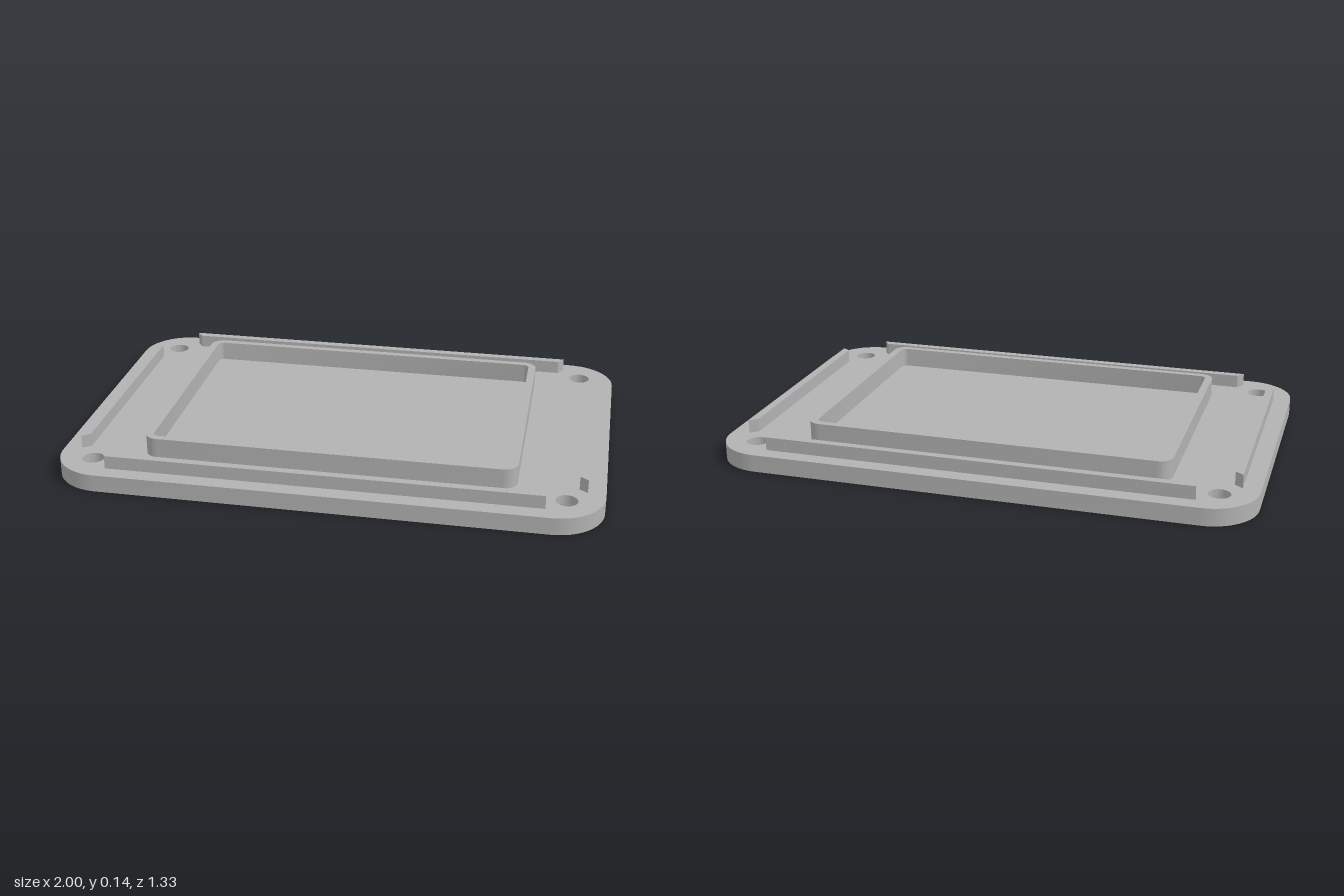
import * as THREE from 'three';
import { mergeGeometries, toCreasedNormals } from 'three/addons/utils/BufferGeometryUtils.js';

const BASE = 0.065, RAIL = 0.115, FRAME = 0.14;

// Counter-clockwise outline of a rounded rectangle, from half sizes
function roundRect(hx, hy, r, steps = 12) {
  const pts = [];
  [[1, 1], [-1, 1], [-1, -1], [1, -1]].forEach(([sx, sy], k) => {
    for (let i = 0; i <= steps; i++) {
      const a = (k + i / steps) * Math.PI / 2;
      pts.push(new THREE.Vector2(sx * (hx - r) + r * Math.cos(a), sy * (hy - r) + r * Math.sin(a)));
    }
  });
  return pts;
}

function circle(x, y, r, n = 32) {
  return Array.from({ length: n }, (_, i) => {
    const a = i / n * Math.PI * 2;
    return new THREE.Vector2(x + r * Math.cos(a), y + r * Math.sin(a));
  });
}

// Vertical wall along a closed outline; inward walls line holes
function wall(pts, y0, y1, inward = false) {
  const p = inward ? [...pts].reverse() : pts;
  const pos = [];
  p.forEach((a, i) => {
    const b = p[(i + 1) % p.length];
    pos.push(a.x, y0, -a.y, b.x, y0, -b.y, b.x, y1, -b.y);
    pos.push(a.x, y0, -a.y, b.x, y1, -b.y, a.x, y1, -a.y);
  });
  const g = new THREE.BufferGeometry();
  g.setAttribute('position', new THREE.Float32BufferAttribute(pos, 3));
  return g;
}

// Flat face with holes, facing up or down
function cap(pts, y, holes = [], down = false) {
  const shape = new THREE.Shape(pts);
  shape.holes = holes.map(h => new THREE.Path(h));
  const g = new THREE.ShapeGeometry(shape);
  if (down) g.index.array.reverse();
  g.rotateX(-Math.PI / 2).translate(0, y, 0);
  const flat = g.toNonIndexed();
  flat.deleteAttribute('normal');
  flat.deleteAttribute('uv');
  return flat;
}

export function createModel() {
  const model = new THREE.Group();
  model.name = 'enclosureLid';
  const grey = new THREE.MeshStandardMaterial({ color: 0xb2b2b2 });
  grey.name = 'grey';

  const add = (name, parts) => {
    const mesh = new THREE.Mesh(toCreasedNormals(mergeGeometries(parts), 0.6), grey);
    mesh.name = name;
    model.add(mesh);
  };

  // Base plate with counterbored screw holes and a shallow square recess below
  const outline = roundRect(1, 0.6625, 0.18);
  const recess = roundRect(0.38, 0.38, 0.08);
  const spots = [[1, 1], [-1, 1], [-1, -1], [1, -1]].map(([x, y]) => [x * 0.865, y * 0.53]);
  const bores = spots.map(([x, y]) => circle(x, y, 0.04));
  const counterbores = spots.map(([x, y]) => circle(x, y, 0.066));
  const boreY = 0.033, recessY = 0.02;
  const plate = [
    wall(outline, 0, BASE),
    cap(outline, BASE, bores),
    cap(outline, 0, [...counterbores, recess], true),
    wall(recess, 0, recessY, true),
    cap(recess, recessY, [], true),
  ];
  spots.forEach((_, i) => plate.push(
    wall(counterbores[i], 0, boreY, true),
    cap(counterbores[i], boreY, [bores[i]], true),
    wall(bores[i], boreY, BASE, true),
  ));
  add('basePlate', plate);

  // Raised rectangular frame
  const outer = roundRect(0.687, 0.482, 0.05);
  const inner = roundRect(0.658, 0.455, 0.025);
  add('raisedFrame', [
    wall(outer, BASE, FRAME),
    wall(inner, BASE, FRAME, true),
    cap(outer, FRAME, [inner]),
  ]);

  // Four edge rails with mitred ends; each is turned outward to its side
  const rail = (name, half, near, far, angle) => {
    const bevel = 0.022;
    const pts = [[-half + bevel, near], [half - bevel, near], [half, far], [-half, far]]
      .map(([x, y]) => new THREE.Vector2(x, y).rotateAround(new THREE.Vector2(), angle));
    add(name, [wall(pts, BASE, RAIL), cap(pts, RAIL)]);
  };
  rail('backRail', 0.795, 0.572, 0.602, 0);
  rail('frontRail', 0.795, 0.572, 0.602, Math.PI);
  rail('rightRail', 0.46, 0.905, 0.935, Math.PI / 2);
  rail('leftRail', 0.46, 0.905, 0.935, -Math.PI / 2);

  return model;
}
